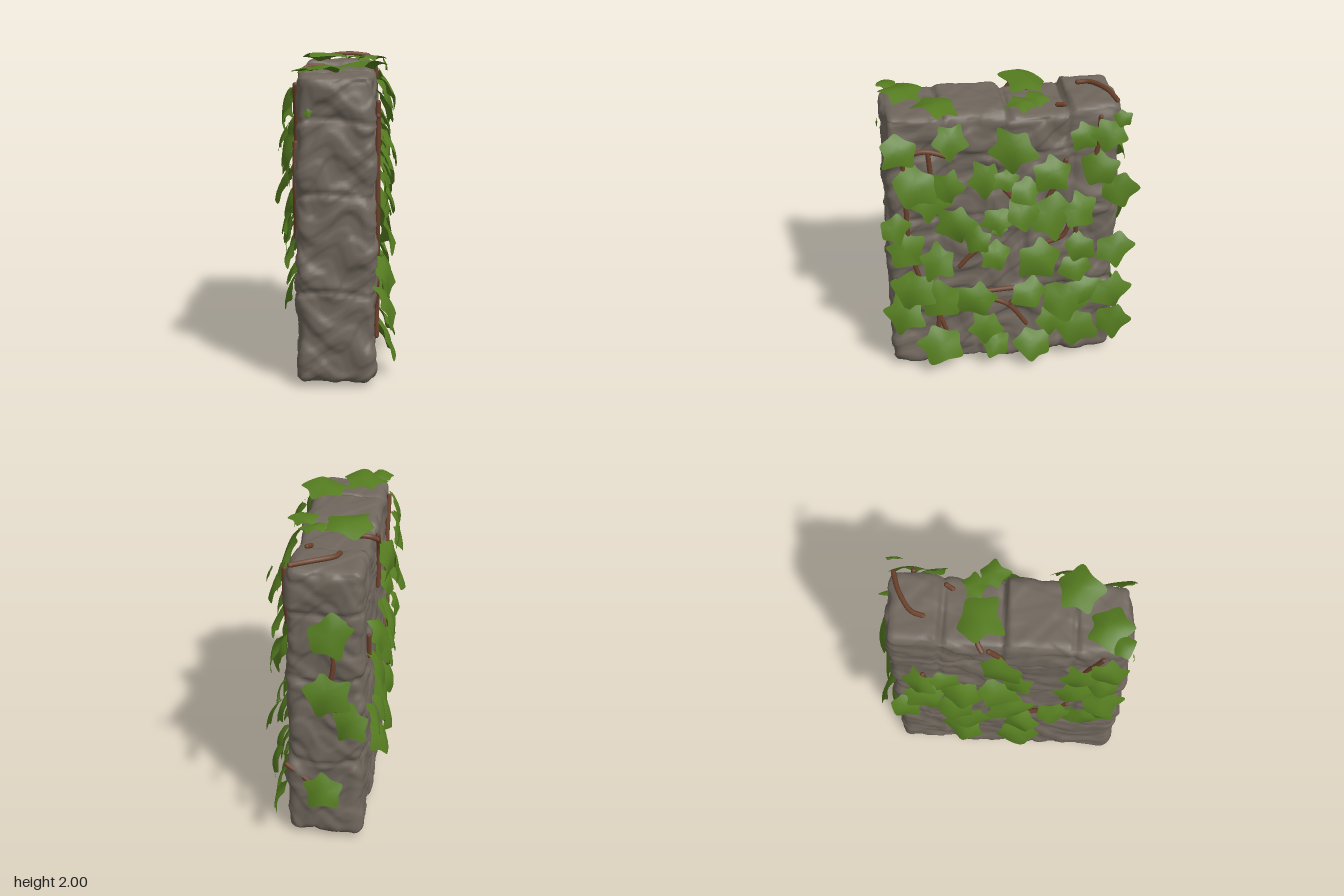
import * as THREE from 'three';
import { mergeVertices } from 'three/addons/utils/BufferGeometryUtils.js';

const stone = new THREE.MeshStandardMaterial({ color: 0x70675d });
const leafGreen = new THREE.MeshStandardMaterial({ color: 0x557c20, side: THREE.DoubleSide });
const bark = new THREE.MeshStandardMaterial({ color: 0x6c422c });

let seed = 7;
const rand = () => (seed = (seed * 16807) % 2147483647) / 2147483647;
const between = (a, b) => a + (b - a) * rand();

// Courses of the wall, and the upright joints (z) in each course
const COURSES = [0.59, 1.19, 1.64];
const JOINTS = [[0.2, -0.35], [0.45, -0.1, -0.5], [0.1, -0.4], [0.42, 0, -0.38]];

// Worn-stone relief: lumps, chipped ledges and grooves along the joints
function relief(x, y, z, top) {
  const s = Math.sin;
  const wy = y + 0.02 * s(z * 7 + x * 9);
  const row = COURSES.filter((c) => wy > c).length;
  const wz = z + 0.012 * s(y * 13 + x * 6);
  const groove = (d, w) => Math.exp(-((d / w) ** 2));
  let h = 0.006 * s(x * 11 + y * 9 + 2 * s(z * 6)) + 0.005 * s(z * 13 - y * 15 + 2 * s(x * 8 + y * 5));
  h += 0.006 * Math.tanh(5 * s(y * 19 + z * 8 + 2 * s(z * 9 + x * 14 + y * 3)));
  h += 0.004 * Math.tanh(4 * s(y * 31 - z * 17 + 2.5 * s(z * 12 - x * 17 + y * 9)));
  if (top) h *= 0.5;
  h += 0.004 * s(row * 5.1 + JOINTS[row].filter((j) => wz > j).length * 2.7);
  if (!top) for (const c of COURSES) h -= 0.014 * groove(wy - c, 0.018);
  for (const j of JOINTS[row]) h -= (top ? 0.03 : 0.012) * groove(wz - j, 0.015);
  return h;
}

function makeWall() {
  const half = new THREE.Vector3(0.236, 0.95, 0.733), r = 0.065;
  const inner = half.clone().subScalar(r);
  const raw = new THREE.BoxGeometry(half.x * 2, half.y * 2, half.z * 2, 30, 110, 88);
  raw.deleteAttribute('normal');
  raw.deleteAttribute('uv');
  const geo = mergeVertices(raw, 1e-4);
  const pos = geo.attributes.position;
  const p = new THREE.Vector3(), q = new THREE.Vector3(), n = new THREE.Vector3();
  for (let i = 0; i < pos.count; i++) {
    p.fromBufferAttribute(pos, i);
    q.copy(p).clamp(inner.clone().negate(), inner);
    n.copy(p).sub(q).normalize();
    p.copy(q).addScaledVector(n, r);
    p.y += 0.97;
    p.z += 0.028;
    p.addScaledVector(n, relief(p.x, p.y, p.z, n.y > 0.7));
    // The top course has one lower block, and the foot is a little wider
    if (p.y > 1.5 && p.z < 0 && p.z > -0.38) p.y -= 0.035 * (p.y - 1.5) / 0.42;
    const flare = 1 + 0.02 * (1 - p.y / 1.92);
    p.x *= flare;
    p.z = 0.028 + (p.z - 0.028) * flare;
    pos.setXYZ(i, p.x, p.y, p.z);
  }
  geo.computeVertexNormals();
  const wall = new THREE.Mesh(geo, stone);
  wall.name = 'stoneWall';
  return wall;
}

// Broad five-lobed cupped leaf, unit radius, main tip at -y
function makeLeaf(variant) {
  const lobes = [1.12, 0.8, 1.05, 0.74, 0.95, 0.66, 0.95, 0.74, 1.05, 0.8];
  const outline = new THREE.CatmullRomCurve3(lobes.map((len, i) => {
    const a = -Math.PI / 2 + (i / 10) * Math.PI * 2 + between(-0.12, 0.12);
    const l = len * between(0.87, 1.13);
    return new THREE.Vector3(Math.cos(a) * l, Math.sin(a) * l, 0);
  }), true, 'catmullrom', 0.45).getPoints(40).slice(0, 40);
  const rings = [0.35, 0.7, 1], verts = [0, 0, 0.14], index = [];
  rings.forEach((t, k) => outline.forEach((o, i) => {
    const x = o.x * t, y = o.y * t;
    const bend = -0.24 * (x * x + y * y) + 0.14 * Math.sin(x * 3 + variant) * y;
    verts.push(x, y, 0.14 + bend);
    const j = (i + 1) % 40, a = 1 + k * 40;
    if (k === 0) index.push(0, 1 + i, 1 + j);
    else index.push(a - 40 + i, a + i, a + j, a - 40 + i, a + j, a - 40 + j);
  }));
  const geo = new THREE.BufferGeometry();
  geo.setAttribute('position', new THREE.Float32BufferAttribute(verts, 3));
  geo.setIndex(index);
  geo.computeVertexNormals();
  return geo;
}

// Ivy on one face. Local x and y lie along the face, local z points away from it.
// leaves: [u, v, radius]; stems: lists of [u, v, depth]
function makeIvy(name, leafShapes, leaves, stems, tilt, lift) {
  const ivy = new THREE.Group();
  ivy.name = name;
  leaves.forEach(([u, v, size = 0.125], i) => {
    const leaf = new THREE.Mesh(leafShapes[i % leafShapes.length], leafGreen);
    leaf.name = 'leaf';
    leaf.position.set(u, v, lift + between(0, 0.03));
    leaf.rotation.set(-tilt * between(0.6, 1.4), tilt * between(-0.6, 0.6), between(-0.7, 0.7));
    leaf.scale.set(size * between(1, 1.2), size * between(0.92, 1.08), size);
    ivy.add(leaf);
  });
  for (const path of stems) {
    const pts = path.map(([u, v, depth = 0.008]) => new THREE.Vector3(u, v, depth));
    const curve = new THREE.CatmullRomCurve3(pts);
    const stem = new THREE.Mesh(new THREE.TubeGeometry(curve, 14, 0.016, 7), bark);
    stem.name = 'stem';
    ivy.add(stem);
    // Rounded stem ends
    for (const end of [pts[0], pts[pts.length - 1]]) {
      const cap = new THREE.Mesh(new THREE.SphereGeometry(0.016, 7, 5), bark);
      cap.name = 'stemEnd';
      cap.position.copy(end);
      ivy.add(cap);
    }
  }
  return ivy;
}

export function createModel() {
  const model = new THREE.Group();
  model.name = 'ivyWall';
  model.add(makeWall());
  const shapes = [0, 1, 2, 3, 4, 5, 6].map(makeLeaf);

  // Left face (+x): u runs towards the back
  const left = makeIvy('leftIvy', shapes, [
    [-0.68, 1.74, 0.11], [-0.37, 1.81, 0.11], [0.02, 1.72, 0.14], [0.62, 1.77, 0.11], [0.46, 1.77, 0.09],
    [0.7, 1.88, 0.06], [-0.59, 1.51, 0.14], [-0.5, 1.39, 0.13], [-0.4, 1.48, 0.11], [-0.15, 1.51, 0.12],
    [-0.03, 1.5, 0.08], [0.26, 1.53, 0.13], [0.58, 1.52, 0.12], [0.69, 1.37, 0.12], [-0.73, 1.2, 0.1],
    [-0.67, 1.01, 0.13], [-0.35, 1.2, 0.14], [-0.08, 1.19, 0.1], [-0.2, 1.06, 0.1], [0.1, 1.4, 0.1],
    [0.08, 1.25, 0.11], [0.26, 1.21, 0.15], [0.44, 1.23, 0.12], [-0.46, 0.92, 0.12], [-0.1, 0.93, 0.11],
    [0.19, 0.89, 0.14], [0.44, 0.79, 0.11], [0.46, 0.95, 0.1], [0.68, 0.92, 0.12], [-0.63, 0.71, 0.15],
    [-0.69, 0.52, 0.13], [-0.45, 0.6, 0.14], [-0.22, 0.6, 0.12], [0.13, 0.61, 0.12], [0.36, 0.52, 0.15],
    [0.52, 0.6, 0.11], [0.67, 0.57, 0.13], [-0.16, 0.36, 0.11], [-0.46, 0.23, 0.15], [-0.08, 0.2, 0.11],
    [0.17, 0.18, 0.14], [0.45, 0.3, 0.14], [0.7, 0.3, 0.12], [0.28, 0.37, 0.1], [-0.07, 1.13, 0.05],
    [0.44, 0.47, 0.05],
  ], [
    [[-0.66, 1.75], [-0.65, 1.35], [-0.64, 1.0], [-0.58, 0.73]],
    [[-0.68, 1.67], [-0.52, 1.7], [-0.37, 1.65]], [[-0.5, 1.68], [-0.49, 1.55]],
    [[-0.53, 0.62], [-0.47, 0.45], [-0.48, 0.25]], [[-0.47, 0.45], [-0.42, 0.3]],
    [[-0.32, 0.82], [-0.25, 0.9], [-0.15, 0.98]], [[-0.12, 1.52], [-0.05, 1.42], [0.03, 1.31]],
    [[0.36, 1.57], [0.31, 1.42], [0.25, 1.3]], [[0.4, 1.1], [0.35, 1.0], [0.23, 0.95]],
    [[0.57, 1.86], [0.56, 1.65], [0.5, 1.46]], [[0.44, 1.12], [0.44, 0.9], [0.46, 0.65]],
    [[-0.15, 0.55], [0.0, 0.47], [0.12, 0.3]], [[0.0, 0.47], [0.07, 0.55]], [[-0.17, 0.6], [0.04, 0.61]],
  ], 0.38, 0.045);
  left.position.x = 0.245;
  left.rotation.y = Math.PI / 2;

  // Right face (-x): u runs towards the front
  const right = makeIvy('rightIvy', shapes, [
    [0, 1.7, 0.14], [0.1, 1.47, 0.1], [0.47, 1.7, 0.12], [0.45, 1.44, 0.13], [0.64, 1.76, 0.12],
    [0.63, 1.55, 0.1], [0.62, 1.27, 0.12], [-0.02, 1.32, 0.13], [0.04, 1.02, 0.14], [-0.51, 1.44, 0.12],
    [-0.5, 1.18, 0.13], [-0.25, 1.23, 0.13], [-0.3, 0.96, 0.13], [-0.22, 0.74, 0.12], [0.33, 0.94, 0.11],
    [0.52, 0.92, 0.12], [0.65, 1.03, 0.1], [0.12, 0.73, 0.12], [-0.25, 0.53, 0.14], [0.12, 0.47, 0.14],
    [-0.63, 0.92, 0.1], [-0.35, 1.5, 0.09],
  ], [
    [[-0.08, 1.88], [0.0, 1.75], [-0.02, 1.5]], [[0.6, 1.85], [0.5, 1.6], [0.45, 1.35]],
    [[0.62, 1.5], [0.64, 1.2], [0.55, 0.9]], [[0.15, 0.78], [0.28, 0.85], [0.42, 1.0]],
    [[-0.5, 1.4], [-0.48, 1.25]],
  ], 0.38, 0.05);
  right.position.x = -0.24;
  right.rotation.y = -Math.PI / 2;

  // Back face (-z): u runs towards the right
  const back = makeIvy('backIvy', shapes, [
    [0.04, 1.53, 0.14], [0.03, 1.12, 0.14], [0.18, 0.93, 0.12], [0, 0.4, 0.12],
  ], [
    [[0.05, 1.45], [0.06, 1.3], [0.03, 1.05], [0.14, 0.92]], [[-0.24, 0.55], [-0.12, 0.45], [0, 0.34]],
  ], 0.3, 0.035);
  back.position.z = -0.71;
  back.rotation.y = Math.PI;

  // Top: v runs towards the back
  const top = makeIvy('topIvy', shapes, [
    [-0.08, 0.15, 0.15], [0.13, 0.19, 0.08], [0.21, 0.09, 0.1], [0.15, -0.43, 0.14],
    [-0.07, -0.61, 0.14], [-0.18, -0.7, 0.08],
  ], [
    [[-0.07, 0.48, 0.01], [-0.05, 0.55, 0.02], [0.08, 0.64, 0.025], [0.2, 0.68, 0.01]],
    [[-0.25, 0.12, -0.06], [-0.2, 0.15, -0.03], [-0.1, 0.16, -0.025]],
    [[0.13, 0.32, -0.03], [0.15, 0.36, -0.02]],
  ], 0.15, 0.015);
  top.position.y = 1.93;
  top.rotation.x = -Math.PI / 2;

  // Front (+z): a single small leaf
  const front = makeIvy('frontLeaf', shapes, [[-0.165, 1.7, 0.026]], [], 0.1, 0.012);
  front.position.z = 0.765;

  model.add(left, right, back, top, front);
  return model;
}
